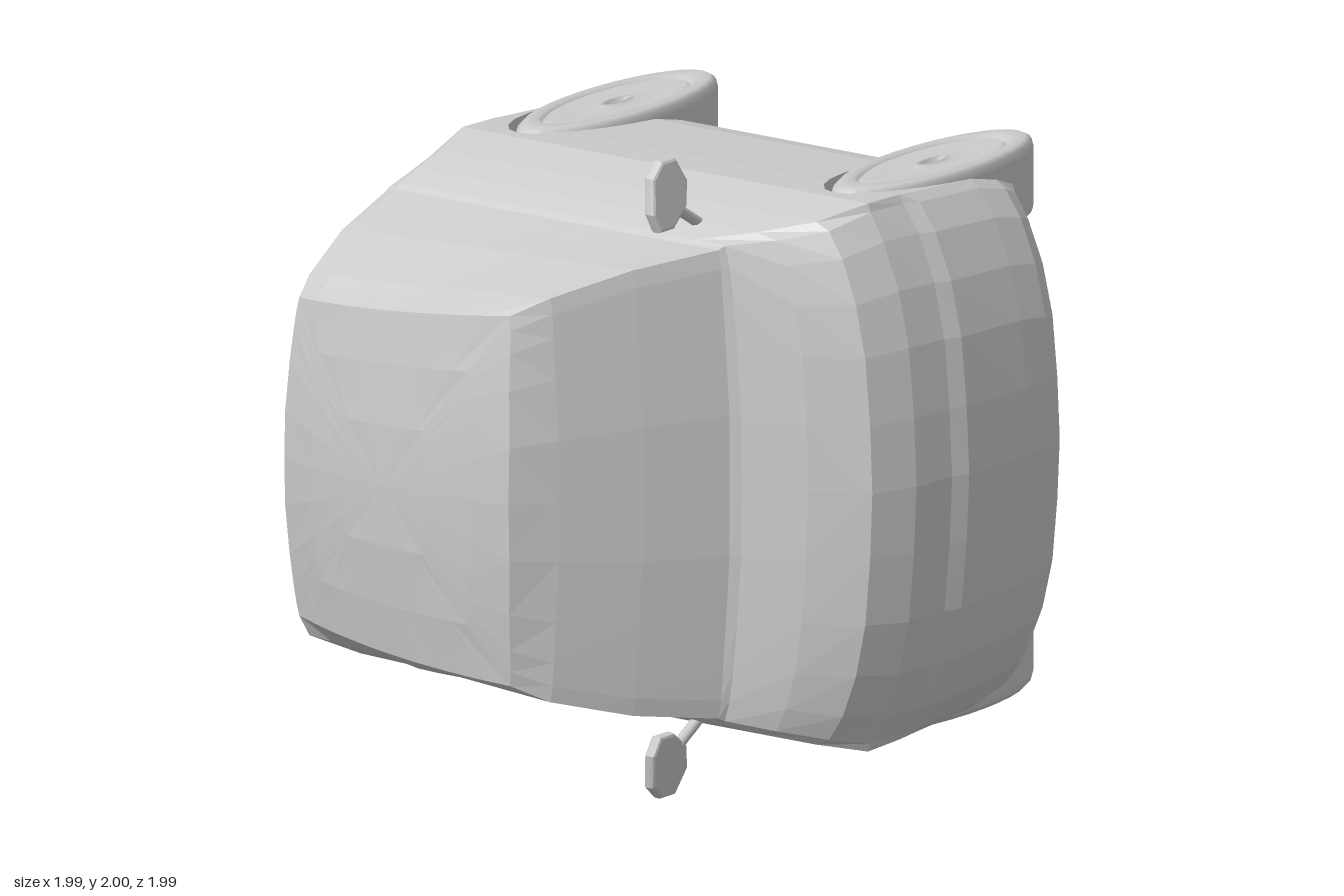
import * as THREE from 'three';

// The car lies on its side: length along x (nose +x), height along z, width along y.
const paint = new THREE.MeshStandardMaterial({ color: 0xcccccc, flatShading: true, side: THREE.DoubleSide });
const smooth = new THREE.MeshStandardMaterial({ color: 0xcccccc });
const { lerp } = THREE.MathUtils;
const WHEEL_X = 0.6, WHEEL_Z = -0.53, WELL_Y = 0.58;

// Body levels: z, front x, rear x, half width, front squareness, rear squareness, taper
const levels = [
  [-0.71, 0.95, -0.9, 0.77, 0, 0, 0],
  [-0.63, 0.985, -0.92, 0.8, 0, 0, 0],
  [-0.5, 0.99, -0.995, 0.83, 0, 0, 0],
  [-0.2, 0.99, -0.995, 0.85, 0, 0, 0],
  [-0.14, 0.97, -0.98, 0.855, 0, 0, 0],
  [0.02, 0.955, -0.97, 0.86, 0, 0, 0],
  [0.17, 0.9, -0.96, 0.82, 0.1, 0, 0],
  [0.27, 0.73, -0.945, 0.785, 0.35, 0.05, 0],
  [0.34, 0.53, -0.935, 0.75, 0.8, 0.15, 0],
  [0.36, 0.5, -0.93, 0.735, 1, 0.2, 0],
  [0.6, 0.35, -0.86, 0.68, 1, 0.6, 0.03],
  [0.82, 0.195, -0.78, 0.6, 1, 1, 0.06],
];

function levelAt(z) {
  let i = 0;
  while (i < levels.length - 2 && z > levels[i + 1][0]) i++;
  const t = (z - levels[i][0]) / (levels[i + 1][0] - levels[i][0]);
  return levels[i].map((v, k) => lerp(v, levels[i + 1][k], t));
}

const floorZ = (x) => (x < -0.432 ? -0.63 : -0.71);

// Columns run from the nose round one side to the tail
function makeColumns() {
  const round = [[1, 0], [0.99, 0.25], [0.97, 0.5], [0.93, 0.7], [0.87, 0.87], [0.81, 0.97]];
  const square = [[1, 0], [1, 0.3], [0.98, 0.6], [0.965, 0.8], [0.955, 0.92], [0.94, 1]];
  const corner = (s) => round.map((r, i) => ({
    round: [s * r[0], r[1]], square: [s * square[i][0], square[i][1]], start: floorZ(s), side: s,
  }));
  const plain = (x, start = floorZ(x), wheel = 0) => ({ round: [x, 1], square: [x, 1], start, wheel });
  const arch = (cx) => {
    const cols = [plain(cx + 0.17, floorZ(cx + 0.17), cx)];
    for (let i = 0; i <= 12; i++) {
      const t = Math.PI * i / 12;
      cols.push(plain(cx + 0.17 * Math.cos(t), WHEEL_Z + 0.5 * Math.sin(t), cx));
    }
    cols.push(plain(cx - 0.17, floorZ(cx - 0.17), cx));
    return cols;
  };
  return [...corner(1), ...arch(WHEEL_X), plain(0.2), plain(0), plain(-0.2),
    ...arch(-WHEEL_X), ...corner(-1).reverse()];
}

function bodyPoint(col, zLevel) {
  const z = Math.max(zLevel, col.start);
  const [, xf, xb, hw, fm, rm, taper] = levelAt(z);
  const m = col.side === -1 ? rm : fm;
  const a = lerp(col.round[0], col.square[0], m), c = lerp(col.round[1], col.square[1], m);
  let x = (xf + xb) / 2 + a * (xf - xb) / 2;
  if (z <= 0.02) x = col.side ? col.side * Math.max(0.78, Math.abs(x)) : a;
  return [x, c * hw * (1 + taper * a), z];
}

// Roof: domed, its rings shrinking to the middle
function roofPoint(col, s) {
  const a = col.square[0] * s, c = col.square[1] * s;
  const z = 0.87 + 0.025 * a + 0.07 * (1 - a * a) + 0.05 * (1 - c * c);
  return [-0.345 + 0.445 * a, c * 0.54 * (1 + 0.08 * a), z];
}

// Surface through rows of points
function grid(rows) {
  const n = rows[0].length, index = [];
  for (let i = 0; i < rows.length - 1; i++) {
    for (let j = 0; j < n - 1; j++) {
      const p = i * n + j, q = p + n;
      index.push(p, p + 1, q + 1, p, q + 1, q);
    }
  }
  const g = new THREE.BufferGeometry();
  g.setAttribute('position', new THREE.Float32BufferAttribute(rows.flat(2), 3));
  g.setIndex(index);
  g.computeVertexNormals();
  return g;
}

function add(parent, name, geometry, material = paint) {
  const mesh = new THREE.Mesh(geometry, material);
  mesh.name = name;
  parent.add(mesh);
  return mesh;
}

function makeWheel(x) {
  const profile = [[0, 0], [0.93, 0], [0.99, 0.015], [1, 0.03], [1, 0.21], [0.98, 0.235], [0.92, 0.25],
    [0.77, 0.25], [0.75, 0.235], [0.71, 0.235], [0.69, 0.245], [0.5, 0.235], [0.18, 0.235],
    [0.17, 0.245], [0.11, 0.245], [0.1, 0.225], [0, 0.225]];
  // Repeated profile points keep the rim edges sharp
  const pts = profile.flatMap(([r, d]) => [new THREE.Vector2(r, d), new THREE.Vector2(r, d)]);
  const g = new THREE.LatheGeometry(pts.filter((p, i) => i % 2 === 0), 32);
  const wheel = new THREE.Group();
  wheel.name = x > 0 ? 'frontWheel' : 'rearWheel';
  add(wheel, 'tyreAndRim', g, smooth);
  wheel.scale.set(0.155, 1, 0.47);
  wheel.position.set(x, 0.61, WHEEL_Z);
  return wheel;
}

function makeMirror() {
  const mirror = new THREE.Group();
  mirror.name = 'wingMirror';
  // Paddle outline in (z, y)
  const outline = [[0.36, 0.99], [0.42, 0.99], [0.47, 0.95], [0.49, 0.85], [0.47, 0.8],
    [0.41, 0.8], [0.34, 0.85], [0.32, 0.92]].map(([z, y]) => new THREE.Vector2(z, y));
  const g = new THREE.ExtrudeGeometry(new THREE.Shape(outline), {
    depth: 0.015, bevelThickness: 0.012, bevelSize: 0.01, bevelSegments: 2,
  });
  g.rotateY(-Math.PI / 2); // outline x becomes z
  const p = g.attributes.position;
  for (let i = 0; i < p.count; i++) p.setX(i, p.getX(i) + 0.315 - 0.17 * (p.getY(i) - 0.8));
  g.computeVertexNormals();
  add(mirror, 'mirrorShell', g);
  const path = new THREE.LineCurve3(new THREE.Vector3(0.31, 0.74, 0.2), new THREE.Vector3(0.305, 0.84, 0.36));
  add(mirror, 'mirrorStalk', new THREE.TubeGeometry(path, 1, 0.018, 8), smooth);
  return mirror;
}

function makeHalf(name) {
  const half = new THREE.Group();
  half.name = name;
  const cols = makeColumns();
  const rows = levels.map((l) => cols.map((c) => bodyPoint(c, l[0])));
  for (const s of [1, 0.7, 0.35, 0]) rows.push(cols.map((c) => roofPoint(c, s)));
  add(half, 'bodyShell', grid(rows));

  // Floor reaches the sills, or the inner wall of a wheel well
  const edge = rows[0];
  const rim = edge.map(([x, y, z], j) => (cols[j].wheel ? [x, WELL_Y, floorZ(x)] : [x, y, z]));
  add(half, 'floor', grid([rim.map(([x, , z]) => [x, 0, z]), rim]));

  for (const x of [WHEEL_X, -WHEEL_X]) {
    const inWell = (_, j) => cols[j].wheel === x;
    const e = edge.filter(inWell);
    add(half, 'wheelWell', grid([rim.filter(inWell), e.map((p) => [p[0], WELL_Y, p[2]]), e]));
    half.add(makeWheel(x));
  }
  half.add(makeMirror());
  return half;
}

export function createModel() {
  const car = new THREE.Group();
  car.name = 'car';
  const upper = makeHalf('upperHalf'), lower = makeHalf('lowerHalf');
  lower.scale.y = -1;
  for (const h of [upper, lower]) {
    h.position.y = 1;
    car.add(h);
  }
  return car;
}
